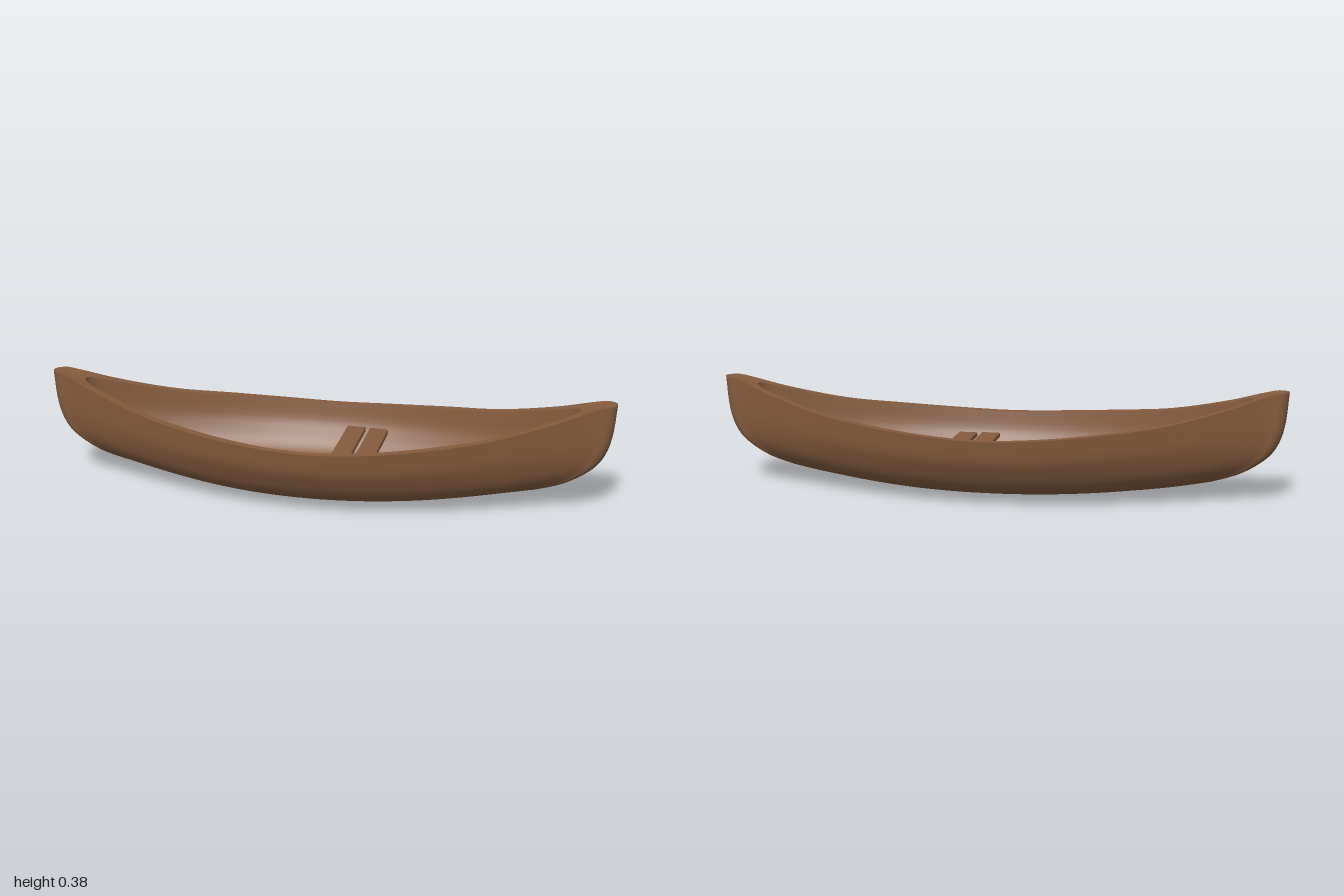
import * as THREE from 'three';
import { mergeVertices } from 'three/addons/utils/BufferGeometryUtils.js';
import { RoundedBoxGeometry } from 'three/addons/geometries/RoundedBoxGeometry.js';

const { lerp } = THREE.MathUtils;

// Smooth interpolation through [x, y] points
function curve(pts) {
  const slope = (i) => {
    const a = pts[Math.max(i - 1, 0)], b = pts[Math.min(i + 1, pts.length - 1)];
    return (b[1] - a[1]) / (b[0] - a[0]);
  };
  return (x) => {
    let i = 0;
    while (i < pts.length - 2 && x > pts[i + 1][0]) i++;
    const [x0, y0] = pts[i], [x1, y1] = pts[i + 1];
    const d = x1 - x0, t = (x - x0) / d, t2 = t * t, t3 = t2 * t;
    return (2 * t3 - 3 * t2 + 1) * y0 + (t3 - 2 * t2 + t) * d * (i ? slope(i) : 0)
      + (3 * t2 - 2 * t3) * y1 + (t3 - t2) * d * slope(i + 1);
  };
}
const indexed = (values) => curve(values.map((v, i) => [i / (values.length - 1), v]));

// Cross-section from keel to rim: height, width amidships, width at the stems
const heightAt = indexed([0, 0.006, 0.034, 0.077, 0.136, 0.21, 0.34, 0.51, 0.7, 1]);
const midWidth = indexed([0, 0.085, 0.2, 0.4, 0.59, 0.71, 0.81, 0.89, 0.96, 1]);
const endWidth = indexed([0, 0.4, 0.55, 0.65, 0.72, 0.8, 0.9, 0.97, 1, 1]);

// Stem profile (half-length by height) and sheer line (rim height by x)
const stem = curve([[0, 0.72], [0.034, 0.765], [0.123, 0.85], [0.28, 0.93], [0.43, 0.968], [0.65, 0.99], [1, 1]]);
const sheer = curve([[0, 0.235], [0.2, 0.243], [0.4, 0.26], [0.6, 0.285], [0.8, 0.333], [0.95, 0.38], [1, 0.385]]);

// Half-width at the rim, outside and inside
const outerPlan = curve([[0, 0.296], [0.2, 0.283], [0.4, 0.242], [0.6, 0.175], [0.8, 0.1], [0.93, 0.051], [0.96, 0.043], [1, 0.04]]);
const innerPlan = curve([[0, 0.27], [0.2, 0.258], [0.4, 0.222], [0.6, 0.168], [0.8, 0.103], [0.93, 0.053], [1, 0.035]]);

// Point on a shell: u runs along the boat, s across it, both -1..1
function shellPoint(u, s, { plan, length, cap, lift }) {
  const a = Math.abs(u), k = Math.abs(s), h = heightAt(k);
  const c = Math.max(0, (a - 1 + cap) / cap);
  const half = plan(a) * Math.sqrt(Math.max(0, 1 - c * c));
  const width = lerp(midWidth(k), endWidth(k), a ** 6);
  return [
    u * length * stem(h),
    lerp(0.06 * a ** 2.4 + lift, sheer(a * length), h),
    Math.sign(s) * half * width,
  ];
}
const OUTER = { plan: outerPlan, length: 1, cap: 0.04, lift: 0 };
const INNER = { plan: innerPlan, length: 0.88, cap: 0.06, lift: 0.025 };

// Surface over a grid of points; faces up unless flipped
function surface(nu, nv, point, flip) {
  const pos = [], idx = [];
  for (let i = 0; i <= nu; i++) {
    const u = Math.sin((i / nu - 0.5) * Math.PI);
    for (let j = 0; j <= nv; j++) pos.push(...point(u, j / nv));
  }
  for (let i = 0; i < nu; i++) {
    for (let j = 0; j < nv; j++) {
      const a = i * (nv + 1) + j, b = a + 1, c = a + nv + 1, d = c + 1;
      if (flip) idx.push(a, c, b, b, c, d);
      else idx.push(a, b, c, b, d, c);
    }
  }
  const g = new THREE.BufferGeometry();
  g.setAttribute('position', new THREE.Float32BufferAttribute(pos, 3));
  g.setIndex(idx);
  const merged = mergeVertices(g, 1e-5);
  merged.computeVertexNormals();
  return merged;
}

export function createModel() {
  const boat = new THREE.Group();
  boat.name = 'canoe';
  const wood = new THREE.MeshStandardMaterial({ color: 0x855c3e });
  wood.name = 'brown wood';
  const add = (name, geometry) => {
    const mesh = new THREE.Mesh(geometry, wood);
    mesh.name = name;
    boat.add(mesh);
    return mesh;
  };

  // Outer and inner hull skins
  add('outerHull', surface(96, 54, (u, v) => shellPoint(u, 2 * v - 1, OUTER), true));
  add('innerHull', surface(96, 54, (u, v) => shellPoint(u, 2 * v - 1, INNER), false));

  // Rim joining the two skins, widening into small end decks
  for (const side of [-1, 1]) {
    add(side > 0 ? 'frontGunwale' : 'backGunwale', surface(96, 1, (u, v) =>
      shellPoint(u, side, (v === 1) === (side > 0) ? OUTER : INNER), false));
  }

  // Two seat boards across the hull
  [[0.07, 0.505], [0.155, 0.49]].forEach(([x, length], i) => {
    const board = add(`seatBoard${i + 1}`, new RoundedBoxGeometry(0.07, 0.018, length, 2, 0.005));
    board.position.set(x, 0.148, -0.003);
  });

  return boat;
}
